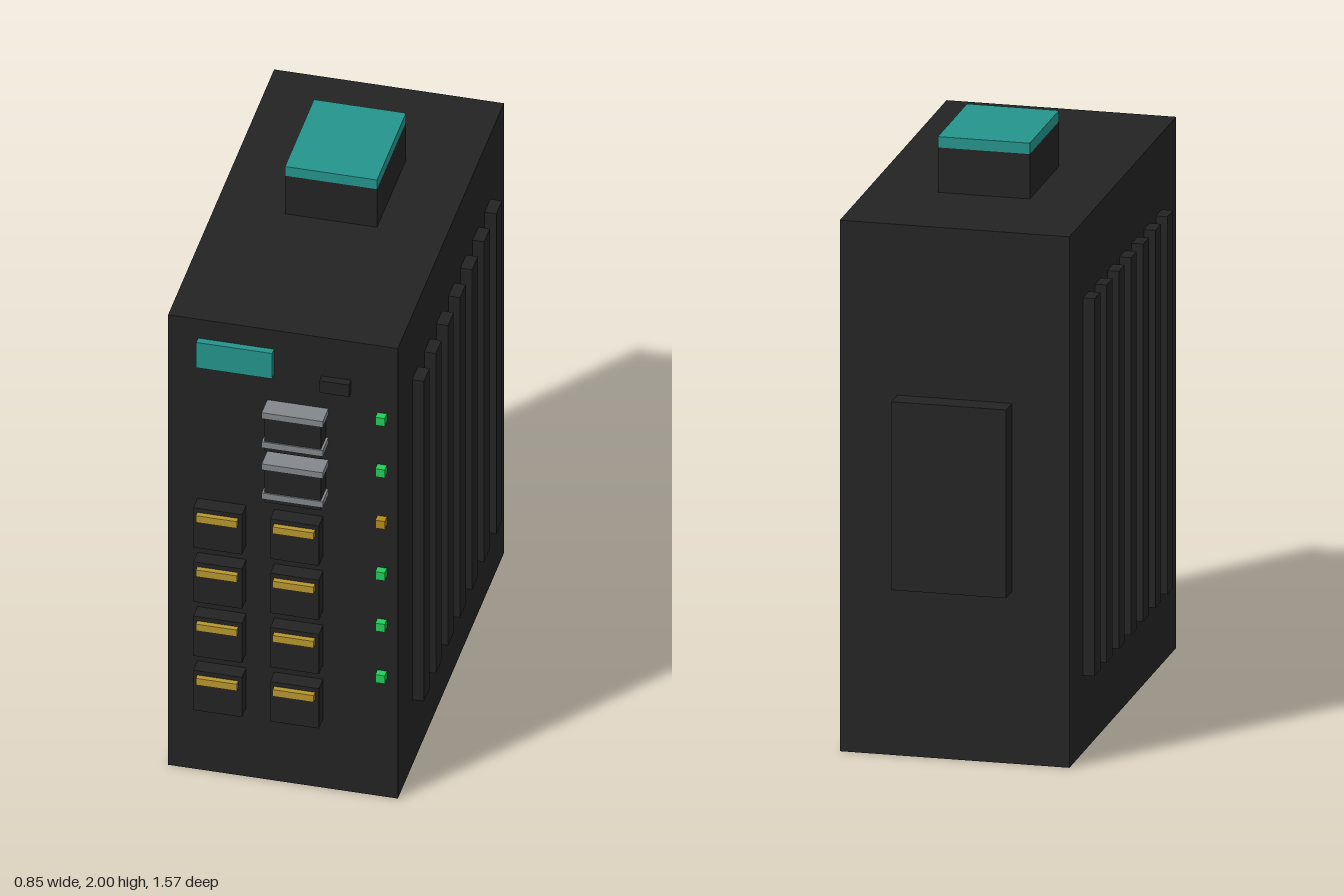
import * as THREE from 'three';

const paint = (name, hex) => {
  const m = new THREE.MeshStandardMaterial({ color: hex });
  m.name = name;
  return m;
};

export function createModel() {
  const black = paint('black casing', 0x232323);
  const teal = paint('teal', 0x24948c);
  const grey = paint('grey metal', 0x83868a);
  const gold = paint('gold contacts', 0xb8962e);
  const green = paint('green light', 0x22cc5a);
  const amber = paint('amber light', 0xb58a1c);

  const model = new THREE.Group();
  model.name = 'networkSwitch';

  // Box given by its low and high limits on each axis
  const box = (name, material, [x0, x1], [y0, y1], [z0, z1], parent = model) => {
    const mesh = new THREE.Mesh(new THREE.BoxGeometry(x1 - x0, y1 - y0, z1 - z0), material);
    mesh.position.set((x0 + x1) / 2, (y0 + y1) / 2, (z0 + z1) / 2);
    mesh.name = name;
    parent.add(mesh);
    return mesh;
  };
  const group = (name) => {
    const g = new THREE.Group();
    g.name = name;
    model.add(g);
    return g;
  };

  const front = 0.71;
  const back = -0.707;
  const side = 0.387;

  // Casing, rear mounting plate and top terminal
  box('casing', black, [-side, side], [0, 1.81], [back, front]);
  box('rearMount', black, [-0.193, 0.193], [0.586, 1.228], [-0.785, back]);
  box('topTerminal', black, [-0.155, 0.155], [1.81, 1.963], [-0.319, 0.068]);
  box('topTerminalCap', teal, [-0.155, 0.155], [1.963, 2], [-0.319, 0.068]);

  // Cooling fins on both sides
  const fins = group('coolingFins');
  for (const s of [-1, 1]) {
    for (let i = 0; i < 7; i++) {
      const z = -0.489 + i * 0.1613;
      const x = s > 0 ? [side, 0.426] : [-0.426, -side];
      box('fin', black, x, [0.263, 1.55], [z - 0.038, z + 0.038], fins);
    }
  }

  // Label plate and small switch
  box('labelPlate', teal, [-0.286, -0.03], [1.632, 1.734], [front, 0.735]);
  box('dipSwitch', black, [0.13, 0.23], [1.607, 1.655], [front, 0.738]);

  // Two optical ports, each with metal strips above and below the opening
  const optical = group('opticalPorts');
  for (const y of [1.446, 1.24]) {
    box('opticalPort', black, [-0.045, 0.145], [y - 0.075, y + 0.075], [front, 0.78], optical);
    for (const dy of [-0.048, 0.069]) {
      box('portStrip', grey, [-0.053, 0.153], [y + dy - 0.012, y + dy + 0.012], [front, 0.785], optical);
    }
  }

  // Two columns of four cable sockets with gold contacts
  const sockets = group('cableSockets');
  for (const x of [-0.206, 0.053]) {
    for (let i = 0; i < 4; i++) {
      const y = 0.356 + i * 0.218;
      box('socket', black, [x - 0.082, x + 0.082], [y - 0.08, y + 0.08], [front, 0.765], sockets);
      box('contacts', gold, [x - 0.069, x + 0.069], [y + 0.036, y + 0.063], [0.762, 0.784], sockets);
    }
  }

  // Column of status lights
  const lights = group('statusLights');
  for (let i = 0; i < 6; i++) {
    const y = 1.525 - i * 0.207;
    box('statusLight', i === 2 ? amber : green, [0.318, 0.35], [y - 0.016, y + 0.016], [front, 0.738], lights);
  }

  return model;
}
